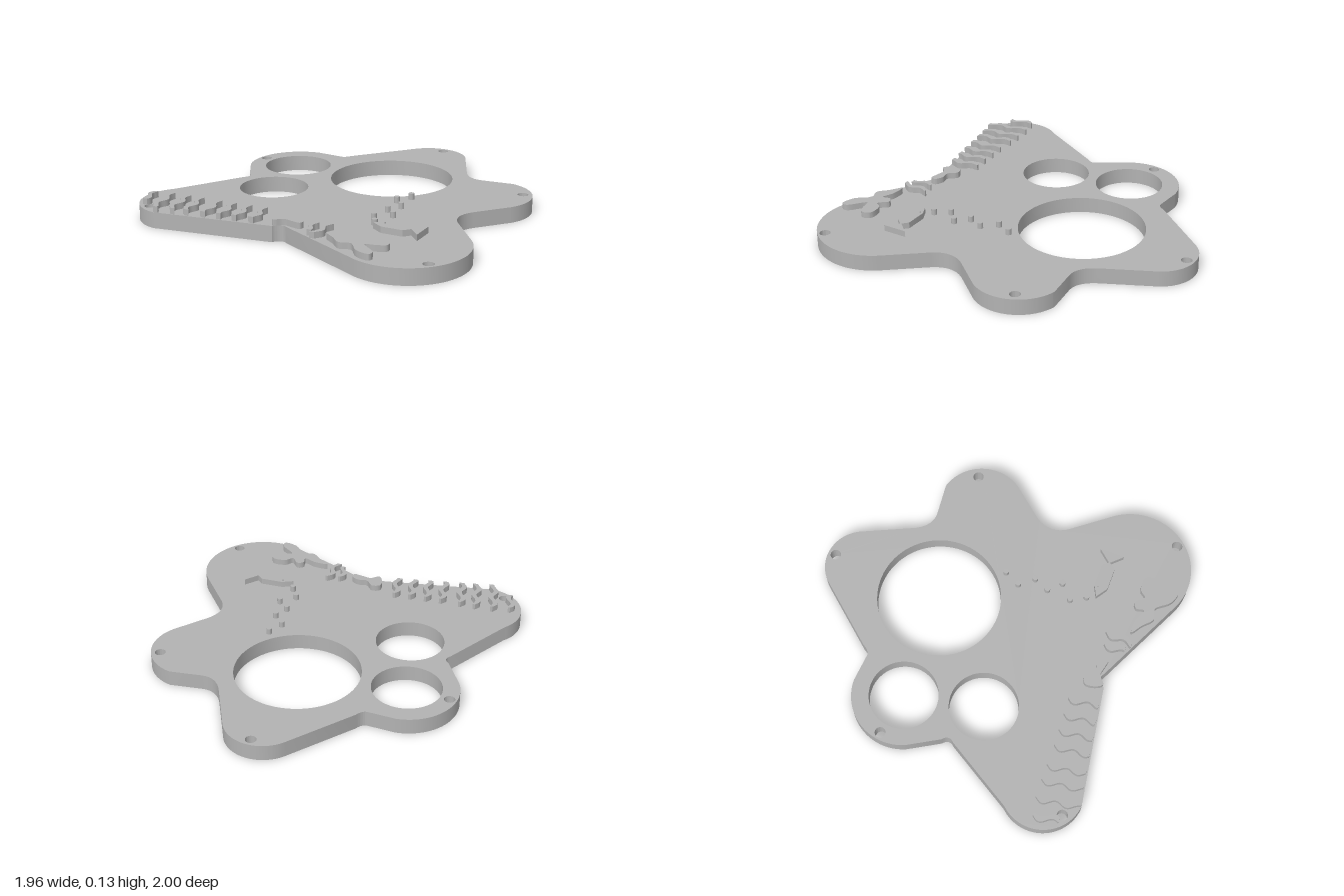
import * as THREE from 'three';
import { toCreasedNormals } from 'three/addons/utils/BufferGeometryUtils.js';

const PLATE = 0.09, RELIEF = 0.125;

export function createModel() {
  const group = new THREE.Group();
  const grey = new THREE.MeshStandardMaterial({ color: 0xb2b2b2 });

  // Shapes are drawn in plan as (x, z) and extruded between two heights
  function addSlab(name, shape, y0, y1, curveSegments = 32) {
    const flat = new THREE.ExtrudeGeometry(shape, { depth: y1 - y0, bevelEnabled: false, curveSegments });
    flat.rotateX(Math.PI / 2);
    flat.translate(0, y1, 0);
    const mesh = new THREE.Mesh(toCreasedNormals(flat, 0.5), grey);
    mesh.name = name;
    group.add(mesh);
  }
  const polygon = (pts) => new THREE.Shape(pts.map(([x, z]) => new THREE.Vector2(x, z)));
  const blob = (pts) => {
    const curve = new THREE.CatmullRomCurve3(pts.map(([x, z]) => new THREE.Vector3(x, z, 0)), true);
    return new THREE.Shape(curve.getPoints(pts.length * 6).slice(0, -1).map((p) => new THREE.Vector2(p.x, p.y)));
  };
  const disc = (x, z, r) => new THREE.Shape().absarc(x, z, r, 0, Math.PI * 2, false);

  // Five-armed plate: round lobes joined by straight flanks and soft inner corners
  const plate = new THREE.Shape();
  plate.absarc(0.1, -0.785, 0.215, -2.42, -0.46, false);
  plate.lineTo(0.426, -0.595);
  plate.quadraticCurveTo(0.475, -0.5, 0.56, -0.505);
  plate.absarc(0.685, -0.277, 0.253, -1.34, 0.64, false);
  plate.lineTo(0.743, 0.045);
  plate.quadraticCurveTo(0.665, 0.145, 0.738, 0.246);
  plate.absarc(0.638, 0.663, 0.337, -0.67, 1.98, false);
  plate.lineTo(-0.025, 0.722);
  plate.quadraticCurveTo(-0.06, 0.695, -0.093, 0.733);
  plate.lineTo(-0.098, 0.745);
  plate.absarc(-0.75, 0.622, 0.232, 1.68, 3.89, false);
  plate.lineTo(-0.69, 0.08);
  plate.quadraticCurveTo(-0.655, 0.045, -0.695, 0.013);
  plate.absarc(-0.533, -0.278, 0.288, 2.71, 4.66, false);
  plate.lineTo(-0.394, -0.553);
  plate.quadraticCurveTo(-0.365, -0.55, -0.341, -0.595);
  plate.closePath();

  // Three large openings and five screw holes
  const holes = [
    [0.077, -0.304, 0.352], [-0.533, -0.275, 0.194], [-0.437, 0.163, 0.194],
    [0.11, -0.955, 0.03], [-0.778, -0.315, 0.03], [0.865, -0.365, 0.03],
    [-0.856, 0.772, 0.03], [0.855, 0.863, 0.03],
  ];
  for (const [x, z, r] of holes) plate.holes.push(new THREE.Path().absarc(x, z, r, 0, Math.PI * 2, true));
  addSlab('plate', plate, 0, PLATE, 40);

  // Fish with a small raised eye
  addSlab('fish', polygon([
    [0.383, 0.53], [0.445, 0.5], [0.575, 0.5], [0.607, 0.53], [0.668, 0.46],
    [0.668, 0.6], [0.607, 0.537], [0.575, 0.575], [0.45, 0.575],
  ]), PLATE, RELIEF);
  addSlab('fishEye', disc(0.447, 0.518, 0.005), RELIEF, RELIEF + 0.008, 8);

  // Bubbles rising from the fish
  const bubbles = [[0.35, 0], [0.305, 0.09], [0.37, 0.17], [0.332, 0.257], [0.398, 0.325], [0.32, 0.397], [0.368, 0.48]];
  for (const [x, z] of bubbles) addSlab('bubble', disc(x, z, 0.016), PLATE, RELIEF, 10);

  // Wavy seaweed ribbons: top x, top z, bottom x, bottom z, width
  const weeds = [
    [-0.918, 0.625, -0.895, 0.765, 0.028], [-0.818, 0.605, -0.778, 0.85, 0.03],
    [-0.715, 0.6, -0.68, 0.83, 0.03], [-0.628, 0.6, -0.592, 0.815, 0.03],
    [-0.512, 0.6, -0.488, 0.8, 0.03], [-0.422, 0.595, -0.393, 0.785, 0.03],
    [-0.328, 0.59, -0.303, 0.77, 0.03], [-0.235, 0.582, -0.207, 0.755, 0.03],
    [0.13, 0.665, 0.135, 0.785, 0.026], [0.205, 0.65, 0.188, 0.81, 0.028],
  ];
  for (const [x0, z0, x1, z1, w] of weeds) {
    const left = [], right = [];
    const n = 16;
    for (let i = 0; i <= n; i++) {
      const t = i / n;
      const x = x0 + (x1 - x0) * t + 0.014 * Math.sin((z1 - z0) * t * 48 + 2.6);
      const z = z0 + (z1 - z0) * t;
      const half = w / 2 * Math.min(1, 0.45 + t * 4);
      left.push([x - half, z]);
      right.unshift([x + half, z]);
    }
    addSlab('seaweed', polygon([...left, ...right]), PLATE, RELIEF);
  }

  // Rock at the notch and branching coral on the front lobe
  addSlab('rock', blob([
    [-0.095, 0.738], [-0.125, 0.69], [-0.125, 0.64], [-0.08, 0.625], [-0.035, 0.67],
    [0.015, 0.665], [0.06, 0.69], [0.055, 0.72], [0.01, 0.715], [-0.05, 0.705],
  ]), PLATE, RELIEF);
  addSlab('coral', blob([
    [0.25, 0.785], [0.33, 0.785], [0.4, 0.81], [0.395, 0.765], [0.43, 0.745], [0.475, 0.79],
    [0.51, 0.755], [0.59, 0.755], [0.605, 0.805], [0.56, 0.83], [0.5, 0.845],
    [0.585, 0.925], [0.58, 0.96], [0.5, 0.94], [0.43, 0.865], [0.37, 0.88], [0.31, 0.83],
  ]), PLATE, RELIEF);

  return group;
}
